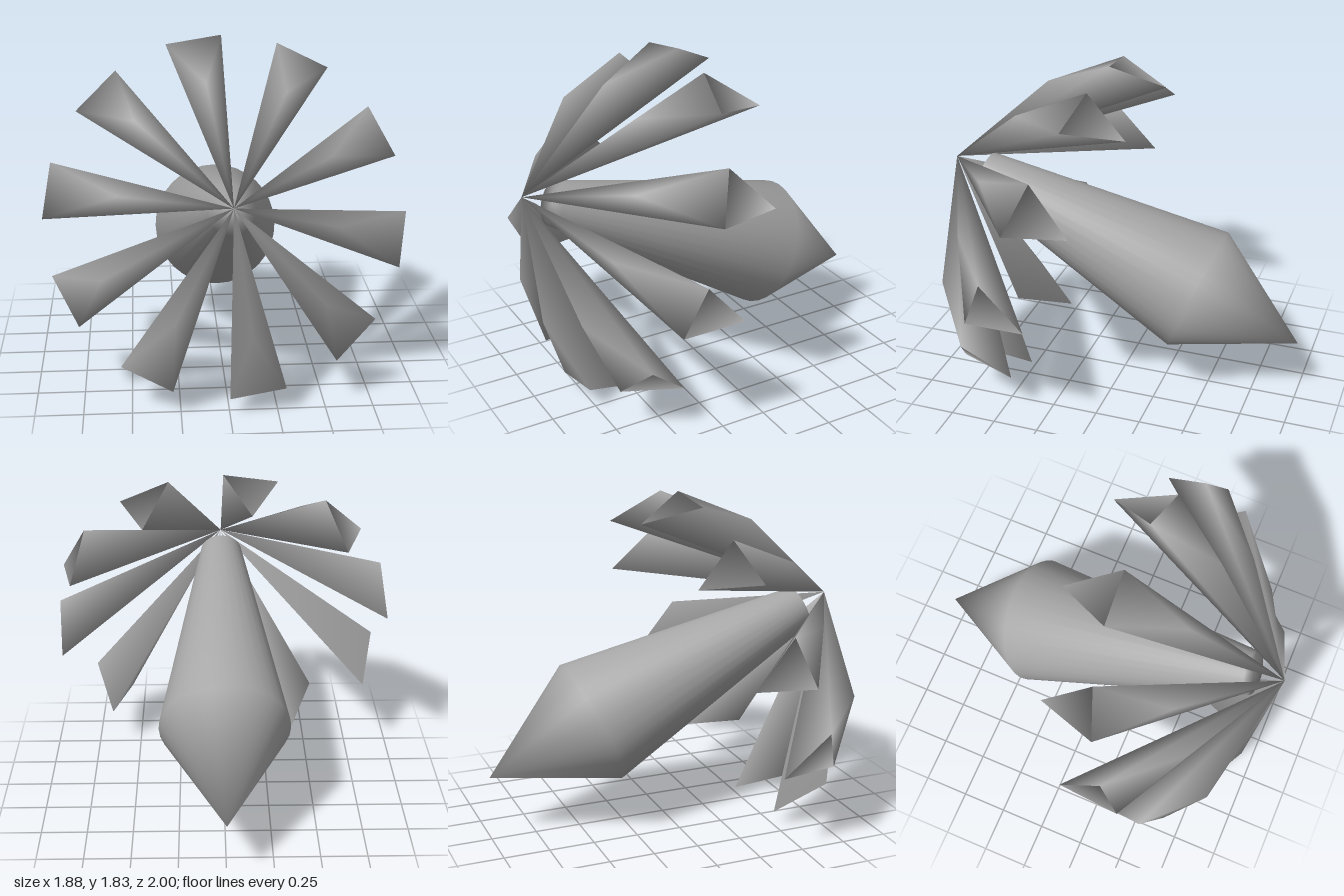
import * as THREE from 'three';
import { mergeVertices } from 'three/addons/utils/BufferGeometryUtils.js';
import { ConvexGeometry } from 'three/addons/geometries/ConvexGeometry.js';

const TILT = -0.396;

// Weld the corners and average the normals over every edge
function weld(geometry) {
  geometry.deleteAttribute('normal');
  geometry.deleteAttribute('uv');
  const welded = mergeVertices(geometry, 1e-4);
  welded.computeVertexNormals();
  return welded;
}

export function createModel() {
  const model = new THREE.Group();
  model.name = 'flower';
  const material = new THREE.MeshStandardMaterial({ color: 0xa6a6a6 });

  // Local frame: everything radiates from the front point, the axis runs along -z
  const head = new THREE.Group();
  head.name = 'head';
  head.position.set(0, 1.2, 1);
  head.rotation.x = TILT;
  model.add(head);

  const add = (name, geometry) => {
    const mesh = new THREE.Mesh(weld(geometry), material);
    mesh.name = name;
    head.add(mesh);
  };

  // A point at depth s along the axis, radius r and clockwise angle a in degrees
  const at = (s, r, a) => {
    const t = THREE.MathUtils.degToRad(a);
    return new THREE.Vector3(r * Math.sin(t), r * Math.cos(t), -s);
  };

  // Body: narrow front end, widening to a rim, then a pointed tail
  const profile = [[0, 0.18], [0.12, 0.18], [0.352, 1.544], [0, 2.166]]
    .map(([r, s]) => new THREE.Vector2(r, s));
  add('body', new THREE.LatheGeometry(profile, 32).rotateX(-Math.PI / 2));

  // Ten petals with slightly uneven front ridges
  const ridgeRadii = [0.65, 0.66, 0.58, 0.54, 0.66, 0.63, 0.61, 0.71, 0.56, 0.65];
  ridgeRadii.forEach((ridge, i) => {
    const mid = i * 36 - 9;
    const left = at(0.595, 0.94, mid - 9);
    const right = at(0.595, 0.94, mid + 9);
    const tip = at(0.895, 0.93, mid);
    add(`petal${i + 1}`,
      new ConvexGeometry([at(0, 0, 0), at(0.3, ridge, mid), left, right, tip]));
  });

  return model;
}
